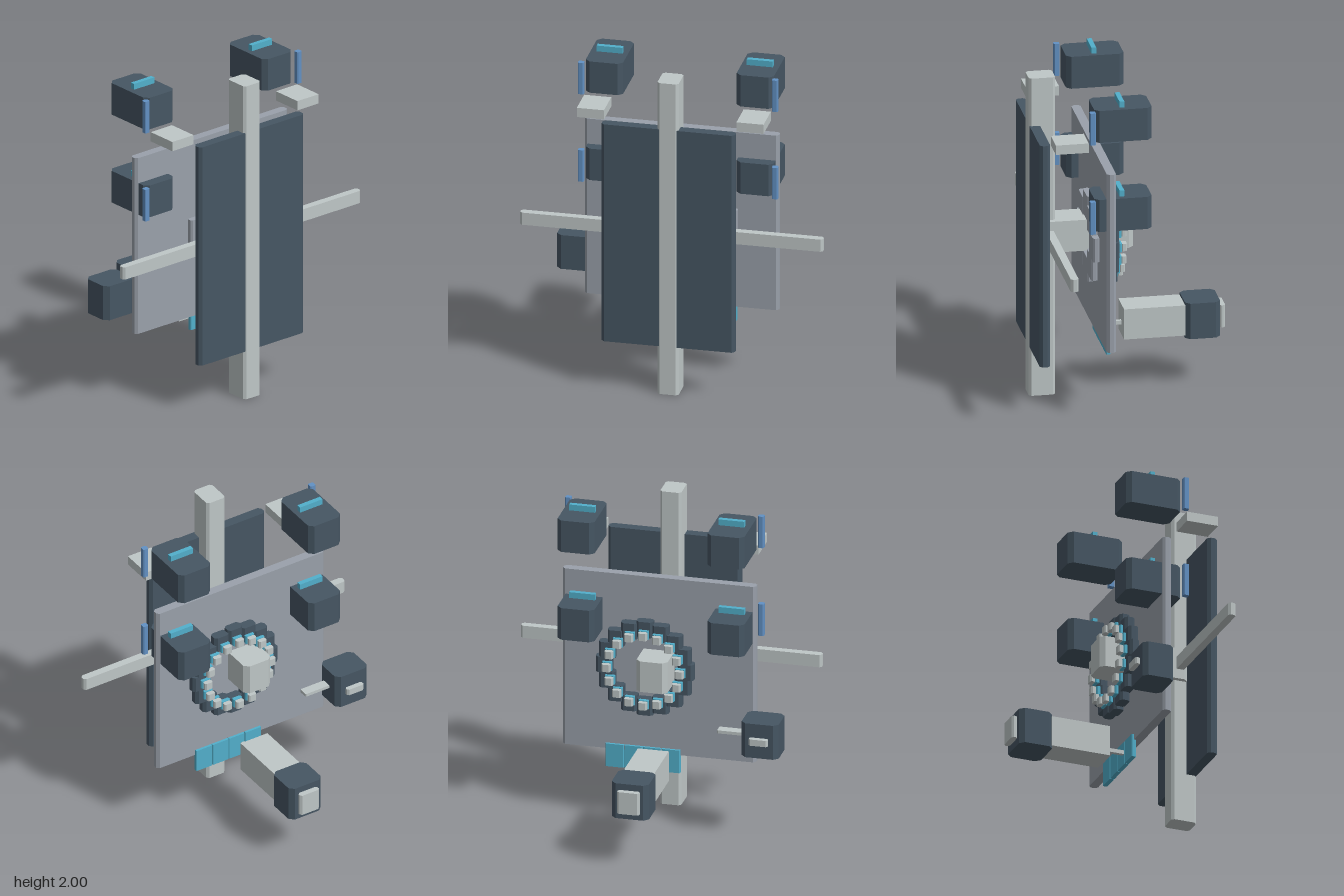
import * as THREE from 'three';

const mat = (name, color) => {
  const m = new THREE.MeshStandardMaterial({ color });
  m.name = name;
  return m;
};

// Upright block with its four vertical edges cut off
function chamferBlock(w, h, d, c) {
  const x = w / 2, z = d / 2;
  const shape = new THREE.Shape([
    [-x + c, -z], [x - c, -z], [x, -z + c], [x, z - c],
    [x - c, z], [-x + c, z], [-x, z - c], [-x, -z + c],
  ].map(p => new THREE.Vector2(...p)));
  const g = new THREE.ExtrudeGeometry(shape, { depth: h, bevelEnabled: false });
  g.rotateX(-Math.PI / 2);
  g.translate(0, -h / 2, 0);
  return g;
}

export function createModel() {
  const model = new THREE.Group();
  model.name = 'equipmentRig';
  const light = mat('lightGrey', 0xbfc7c7);
  const dark = mat('darkSlate', 0x465663);
  const grey = mat('midGrey', 0x9aa1ab);
  const blue = mat('blue', 0x6291c4);
  const cyan = mat('cyan', 0x52b0cc);

  // Block from its min/max on each axis; c = chamfer (0 for a plain box)
  function block(name, material, [x0, x1], [y0, y1], [z0, z1], c, parent = model) {
    const w = x1 - x0, h = y1 - y0, d = z1 - z0;
    const cut = c ?? Math.min(0.28 * Math.min(w, d), 0.028);
    const geo = cut > 0 ? chamferBlock(w, h, d, cut) : new THREE.BoxGeometry(w, h, d);
    const mesh = new THREE.Mesh(geo, material);
    mesh.name = name;
    mesh.position.set((x0 + x1) / 2, (y0 + y1) / 2, (z0 + z1) / 2);
    parent.add(mesh);
    return mesh;
  }
  const around = (v, size) => [v - size / 2, v + size / 2];

  // Mast, front panel, cross arm
  block('mast', light, [-0.064, 0.064], [0, 2], [0.43, 0.588], 0.015);
  block('frontPanel', dark, [-0.403, 0.403], [0.305, 1.7], [0.522, 0.584]);
  block('crossArm', light, [-0.915, 0.915], [0.966, 1.044], [0.447, 0.494]);

  // Back plate and the hub through it
  block('backPlate', grey, [-0.587, 0.587], [0.44, 1.563], [0.162, 0.217]);
  block('hub', light, [-0.094, 0.094], [0.905, 1.1], [-0.033, 0.525]);

  // Ring of small modules on the rear of the plate
  const cx = 0.075, cy = 0.997;
  const moduleRing = new THREE.Group();
  moduleRing.name = 'moduleRing';
  model.add(moduleRing);
  for (let i = 0; i < 16; i++) {
    const a = (i / 16) * Math.PI * 2, c = Math.cos(a), s = Math.sin(a);
    const at = r => [cx + r * c, cy + r * s];
    const [dx, dy] = at(0.248);
    block('moduleBody', dark, around(dx, 0.1), around(dy, 0.1), [0.1, 0.164], 0.016, moduleRing);
    const [bx, by] = at(0.222);
    block('moduleFace', cyan, around(bx, 0.06), around(by, 0.054), [0.079, 0.104], 0.006, moduleRing);
    block('moduleTip', light, around(bx, 0.052), around(by, 0.046), [0.048, 0.08], 0.008, moduleRing);
  }

  // Ring of grey blocks on the front of the plate
  const spacerRing = new THREE.Group();
  spacerRing.name = 'spacerRing';
  model.add(spacerRing);
  for (let i = 0; i < 8; i++) {
    const a = (i / 8) * Math.PI * 2;
    block('spacer', grey, around(cx + 0.193 * Math.cos(a), 0.15),
      around(cy + 0.193 * Math.sin(a), 0.15), [0.215, 0.256], 0.01, spacerRing);
  }

  // Two rows of head units, mirrored left and right
  for (const s of [1, -1]) {
    const side = (a, b) => (s > 0 ? [a, b] : [-b, -a]);
    for (const [y0, y1] of [[1.762, 1.963], [1.2, 1.402]]) {
      const unit = new THREE.Group();
      unit.name = (s > 0 ? 'left' : 'right') + (y0 > 1.5 ? 'Upper' : 'Lower') + 'Head';
      model.add(unit);
      block('headBody', dark, side(0.343, 0.568), [y0, y1], [-0.057, 0.287], undefined, unit);
      block('topStrip', cyan, side(0.375, 0.532), [y1, y1 + 0.037], [0.104, 0.133], 0, unit);
      block('sideBar', blue, side(0.568, 0.604), [y0, y1], [0.287, 0.322], 0.006, unit);
    }
    block('bracket', light, side(0.4, 0.564), [1.703, 1.762], [0.323, 0.52], 0);
  }

  // Box on the right side with its rod and knob
  block('sideBox', dark, [-0.77, -0.545], [0.555, 0.772], [-0.034, 0.16]);
  block('sideKnob', light, [-0.715, -0.6], [0.645, 0.685], [-0.066, -0.033], 0.01);
  block('sideRod', light, [-0.56, -0.38], [0.653, 0.672], [0.05, 0.11], 0.005);

  // Row of panels under the plate
  for (let i = 0; i < 4; i++) {
    const x = -0.13 + i * 0.114;
    block('lowerPanel', cyan, [x, x + 0.111], [0.33, 0.475], [0.147, 0.174], 0.004);
  }

  // Rear boom with head and end cap
  block('boomRod', light, [-0.012, 0.012], [0.393, 0.417], [0.02, 0.15], 0);
  block('boom', light, [-0.094, 0.094], [0.328, 0.518], [-0.345, 0.024], 0);
  block('boomHead', dark, [-0.113, 0.113], [0.31, 0.533], [-0.552, -0.342]);
  block('boomCap', light, [-0.067, 0.067], [0.354, 0.493], [-0.588, -0.552], 0.012);

  return model;
}
